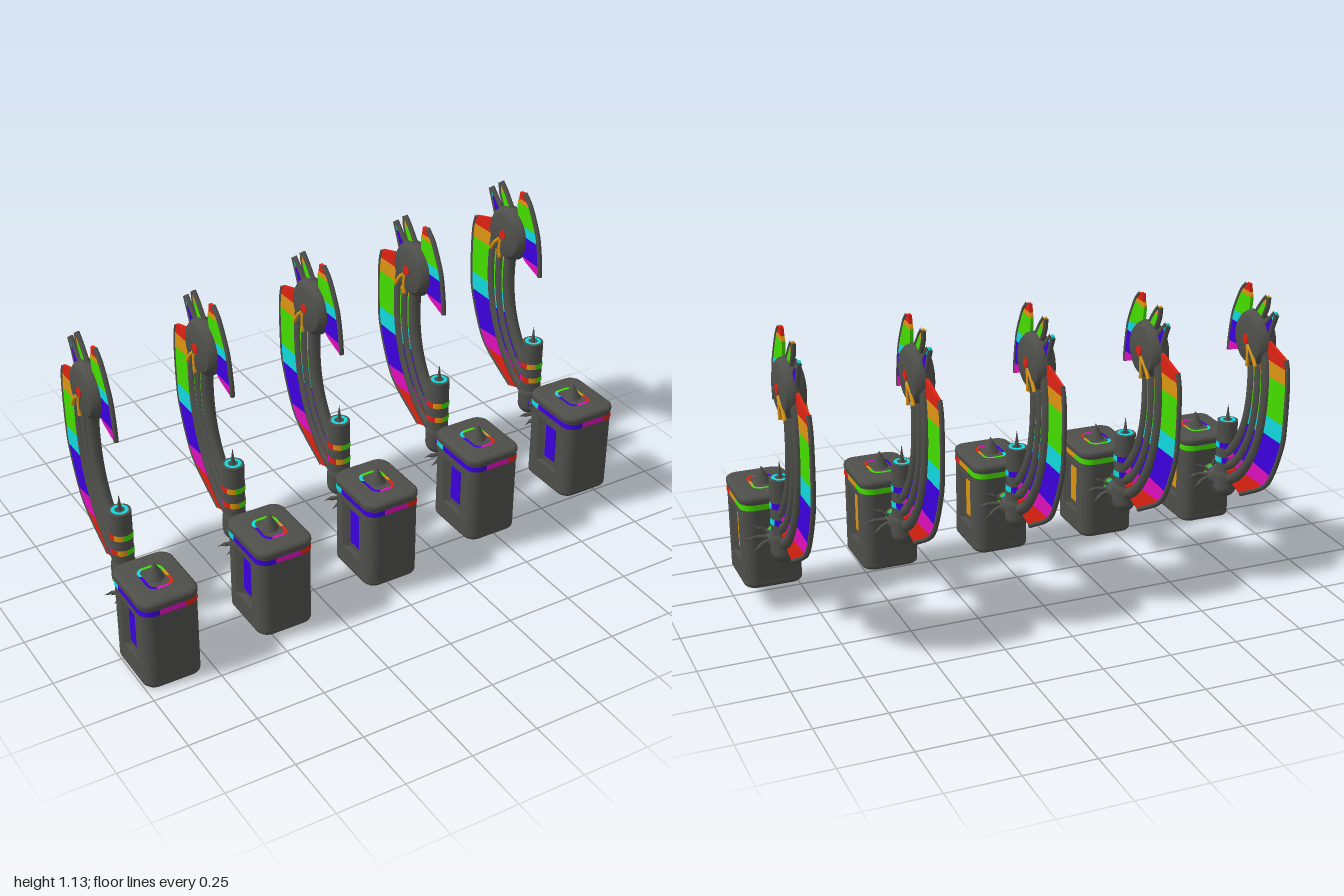
import * as THREE from 'three';
import { toCreasedNormals } from 'three/addons/utils/BufferGeometryUtils.js';

const mat = (name, color) => {
  const m = new THREE.MeshStandardMaterial({ color });
  m.name = name;
  return m;
};
const dark = mat('darkGrey', 0x4e4e4a);
const red = mat('red', 0xdd2211);
const orange = mat('orange', 0xdd9511);
const green = mat('green', 0x44dd00);
const cyan = mat('cyan', 0x11d8dd);
const blue = mat('blue', 0x3c00dd);
const magenta = mat('magenta', 0xdd0fbb);
const rainbow = [red, orange, green, cyan, blue, magenta];

const BOX_Z = 0.22, POST_Z = -0.036;

function add(group, name, geometry, material, x = 0, y = 0, z = 0) {
  const m = new THREE.Mesh(geometry, material);
  m.name = name;
  m.position.set(x, y, z);
  group.add(m);
  return m;
}

// Side-profile point: u runs towards the back, v is height
const side = ([u, v], x = 0) => new THREE.Vector3(x, v, -u);
const sideCurve = pts => new THREE.CatmullRomCurve3(pts.map(p => side(p)));
const tube = (pts, r, seg = 40) => new THREE.TubeGeometry(new THREE.CatmullRomCurve3(pts), seg, r, 10);

// Rounded rectangle in plan, optionally with a recess in both sides
function plan(hx, hz, r, recess = false) {
  const s = new THREE.Shape();
  s.moveTo(hx, -hz + r);
  if (recess) s.lineTo(hx, -0.057).lineTo(hx - 0.02, -0.038).lineTo(hx - 0.02, 0.038).lineTo(hx, 0.057);
  s.absarc(hx - r, hz - r, r, 0, Math.PI / 2);
  s.absarc(-hx + r, hz - r, r, Math.PI / 2, Math.PI);
  if (recess) s.lineTo(-hx, 0.057).lineTo(-hx + 0.02, 0.038).lineTo(-hx + 0.02, -0.038).lineTo(-hx, -0.057);
  s.absarc(-hx + r, -hz + r, r, Math.PI, Math.PI * 1.5);
  s.absarc(hx - r, -hz + r, r, Math.PI * 1.5, Math.PI * 2);
  s.closePath();
  return s;
}
function slab(shape, y0, y1, bevel = 0) {
  const g = new THREE.ExtrudeGeometry(shape, {
    depth: y1 - y0 - 2 * bevel, bevelEnabled: bevel > 0, bevelSize: bevel, bevelOffset: -bevel,
    bevelThickness: bevel, bevelSegments: 3, curveSegments: 8,
  });
  g.rotateX(-Math.PI / 2).translate(0, y0 + bevel, 0);
  return toCreasedNormals(g, 0.6);
}

// Colour index by direction around the vertical axis, in degrees from the front
function hueIndex(deg) {
  const a = (((deg - 20) % 360) + 360) % 360;
  return [48, 92, 180, 220, 320, 360].findIndex(limit => a < limit);
}
// Loop of plan points lifted to a height
const loop = (shape, y) => shape.getSpacedPoints(120).map(p => new THREE.Vector3(p.x, y, -p.y));
// Closed strip between two loops, coloured by direction
function rainbowStrip(a, b, shift = 0) {
  const pos = [], g = new THREE.BufferGeometry();
  for (let i = 0; i < a.length - 1; i++) {
    for (const p of [a[i], a[i + 1], b[i + 1], a[i], b[i + 1], b[i]]) pos.push(p.x, p.y, p.z);
    const mid = a[i].clone().add(a[i + 1]);
    g.addGroup(i * 6, 6, hueIndex(THREE.MathUtils.radToDeg(Math.atan2(mid.x, mid.z)) + shift));
  }
  g.setAttribute('position', new THREE.Float32BufferAttribute(pos, 3));
  g.computeVertexNormals();
  return g;
}

// Flat blade between two edge curves, one colour per section, with dark rims
function blade(group, name, inner, outer, bands, rims, thick = 0.012) {
  const ci = sideCurve(inner), co = sideCurve(outer), n = bands.length;
  bands.forEach((m, k) => {
    const pts = [];
    for (let j = 0; j <= 5; j++) pts.push(ci.getPoint((k + j / 5) / n));
    for (let j = 5; j >= 0; j--) pts.push(co.getPoint((k + j / 5) / n));
    const s = new THREE.Shape(pts.map(p => new THREE.Vector2(-p.z, p.y)));
    const g = new THREE.ExtrudeGeometry(s, { depth: thick, bevelEnabled: false });
    g.translate(0, 0, -thick / 2).rotateY(Math.PI / 2);
    add(group, name + 'Band', g, m);
  });
  for (const c of rims === 2 ? [ci, co] : [co])
    add(group, name + 'Rim', new THREE.TubeGeometry(c, 40, 0.009, 8), dark);
}

function makeBox(unit) {
  const g = new THREE.Group();
  g.name = 'box';
  g.position.z = BOX_Z;
  unit.add(g);
  const p = plan(0.105, 0.128, 0.045);
  add(g, 'boxFoot', slab(p, 0.087, 0.125, 0.012), dark);
  add(g, 'boxLower', slab(p, 0.1, 0.168), dark);
  add(g, 'boxMiddle', slab(plan(0.105, 0.128, 0.045, true), 0.168, 0.36), dark);
  add(g, 'boxUpper', slab(p, 0.36, 0.41), dark);
  add(g, 'boxLid', slab(plan(0.108, 0.131, 0.047), 0.405, 0.437, 0.012), dark);
  const band = plan(0.107, 0.13, 0.046);
  add(g, 'boxBand', rainbowStrip(loop(band, 0.386), loop(band, 0.407)), rainbow);
  add(g, 'lidRing', rainbowStrip(loop(plan(0.046, 0.064, 0.03), 0.4385), loop(plan(0.036, 0.053, 0.022), 0.4385)), rainbow);
  const cone = [[0.034, 0.435], [0.024, 0.452], [0.014, 0.472], [0, 0.497]].map(q => new THREE.Vector2(...q));
  add(g, 'lidSpike', new THREE.LatheGeometry(cone, 16), dark);
  // Side windows at the bottom of the recesses
  for (const s of [1, -1])
    add(g, 'window', slab(plan(0.004, 0.03, 0.004), 0.194, 0.33), s > 0 ? orange : blue, s * 0.085);
}

function makePost(unit) {
  const g = new THREE.Group();
  g.name = 'post';
  g.position.z = POST_Z;
  unit.add(g);
  add(g, 'elbow', new THREE.CapsuleGeometry(0.044, 0.045, 8, 24), dark, 0, 0.307);
  add(g, 'postBody', new THREE.CylinderGeometry(0.039, 0.039, 0.22, 28), dark, 0, 0.442);
  [[0.388, 0.41, 115], [0.448, 0.47, 130]].forEach(([y0, y1, shift]) => {
    const p = plan(0.041, 0.041, 0.0409);
    add(g, 'postBand', rainbowStrip(loop(p, y0), loop(p, y1), shift), rainbow);
  });
  add(g, 'postTopRing', new THREE.RingGeometry(0.018, 0.03, 28).rotateX(-Math.PI / 2), cyan, 0, 0.5535);
  add(g, 'postSpike', new THREE.ConeGeometry(0.009, 0.065, 10), dark, 0, 0.583);
}

function makeConnector(unit) {
  const g = new THREE.Group();
  g.name = 'connector';
  g.position.y = 0.3;
  unit.add(g);
  add(g, 'link', new THREE.CylinderGeometry(0.026, 0.026, 0.13, 20).rotateX(Math.PI / 2), dark, 0, 0, 0.03);
  add(g, 'joint', new THREE.SphereGeometry(0.038, 24, 16), dark, 0, 0, 0.026);
  [[green, 0.072], [cyan, 0.06], [blue, -0.002]].forEach(([m, z]) =>
    add(g, 'linkRing', new THREE.TorusGeometry(0.027, 0.004, 8, 24), m, 0, 0, z));
  // Ring of curved claws
  for (let i = 0; i < 8; i++) {
    const a = (i / 8) * Math.PI * 2, c = Math.cos(a) * 0.112, s = Math.sin(a) * 0.066;
    const at = (k, z) => new THREE.Vector3(c * k, s * k, z);
    const geo = tube([at(0.2, 0.05), at(0.55, 0.062), at(0.82, 0.058)], 0.007, 10);
    add(g, 'claw', geo, dark);
    const tip = add(g, 'clawTip', new THREE.ConeGeometry(0.007, 0.032, 10), dark);
    tip.position.copy(at(0.9, 0.056));
    tip.quaternion.setFromUnitVectors(new THREE.Vector3(0, 1, 0), at(1, 0).normalize());
  }
}

// Point list parallel to the arm's centre line
const armLine = sideCurve([[0.235, 0.93], [0.257, 0.845], [0.26, 0.725], [0.239, 0.606], [0.191, 0.5], [0.116, 0.41], [0.045, 0.365]]);
const armOffset = d => armLine.getSpacedPoints(60).map((p, i) => {
  const t = armLine.getTangentAt(i / 60);
  return new THREE.Vector3(0, p.y - t.z * d, p.z + t.y * d);
});
const heightColour = y =>
  y > 0.82 ? orange : y > 0.68 ? green : y > 0.6 ? cyan : y > 0.45 ? blue : y > 0.4 ? magenta : red;

function makeArm(unit) {
  const g = new THREE.Group();
  g.name = 'arm';
  unit.add(g);
  for (const d of [-0.05, 0, 0.05]) add(g, 'armTube', tube(armOffset(d), 0.0225, 60), dark);
  for (const d of [-0.025, 0.025]) {
    // Coloured cords split wherever the height colour changes
    let run = [];
    armOffset(d).forEach((p, i, all) => {
      run.push(p);
      const m = heightColour(run[0].y);
      if (run.length > 1 && (i === all.length - 1 || heightColour(p.y) !== m)) {
        add(g, 'armStripe', tube(run, 0.013, run.length * 2), m);
        run = [p];
      }
    });
  }
  blade(g, 'backBlade',
    [[0.3, 0.955], [0.305, 0.884], [0.311, 0.824], [0.314, 0.672], [0.296, 0.6], [0.216, 0.463], [0.141, 0.39], [0.066, 0.325]],
    [[0.433, 0.916], [0.445, 0.881], [0.451, 0.824], [0.448, 0.672], [0.439, 0.6], [0.376, 0.451], [0.331, 0.394], [0.161, 0.295]],
    [red, orange, green, cyan, blue, magenta, red], 1);
}

function makeHead(unit) {
  const g = new THREE.Group();
  g.name = 'head';
  unit.add(g);
  const profile = [[0, -0.04], [0.07, -0.04], [0.088, -0.034], [0.1, -0.02], [0.105, 0],
    [0.1, 0.02], [0.088, 0.034], [0.07, 0.04], [0, 0.04]].map(q => new THREE.Vector2(...q));
  const disc = toCreasedNormals(new THREE.LatheGeometry(profile, 40), 0.5).rotateZ(Math.PI / 2);
  add(g, 'disc', disc, dark, 0, 0.934, -0.212);
  add(g, 'discHub', new THREE.CylinderGeometry(0.018, 0.018, 0.086, 20).rotateZ(Math.PI / 2), red, 0, 0.934, -0.212);
  // Cords running from the hub over the disc
  for (const x of [-0.038, 0.038]) {
    add(g, 'discCord', tube([[0.222, 0.915], [0.228, 0.88], [0.226, 0.835]].map(p => side(p, x)), 0.007, 12), orange);
    add(g, 'discCord', tube([[0.226, 0.915], [0.26, 0.885], [0.285, 0.85]].map(p => side(p, x)), 0.007, 12), orange);
  }
  blade(g, 'frontBlade',
    [[0.161, 1.122], [0.167, 1.093], [0.173, 1.075], [0.16, 0.994], [0.14, 0.955], [0.125, 0.872], [0.05, 0.838]],
    [[0.14, 1.122], [0.11, 1.096], [0.096, 1.078], [0.051, 0.994], [0.039, 0.955], [0.024, 0.869], [0.021, 0.83]],
    [red, orange, green, cyan, blue, magenta], 1);
  blade(g, 'upperFin', [[0.21, 1.03], [0.255, 1.085], [0.285, 1.113]],
    [[0.25, 1.01], [0.285, 1.07], [0.292, 1.11]], [green, orange], 2);
  blade(g, 'lowerFin', [[0.275, 1.0], [0.325, 1.05], [0.345, 1.069]],
    [[0.31, 0.97], [0.335, 1.025], [0.354, 1.064]], [blue, cyan], 2);
}

export function createModel() {
  const model = new THREE.Group();
  model.name = 'hookRow';
  // Five equal units, each a little higher and further back
  for (let i = 0; i < 5; i++) {
    const unit = new THREE.Group();
    unit.name = 'hookUnit';
    [makeBox, makePost, makeConnector, makeArm, makeHead].forEach(make => make(unit));
    unit.position.set(-0.892 + 0.443 * i, -0.0222 * (4 - i), 0.026 * (4 - i));
    model.add(unit);
  }
  return model;
}
